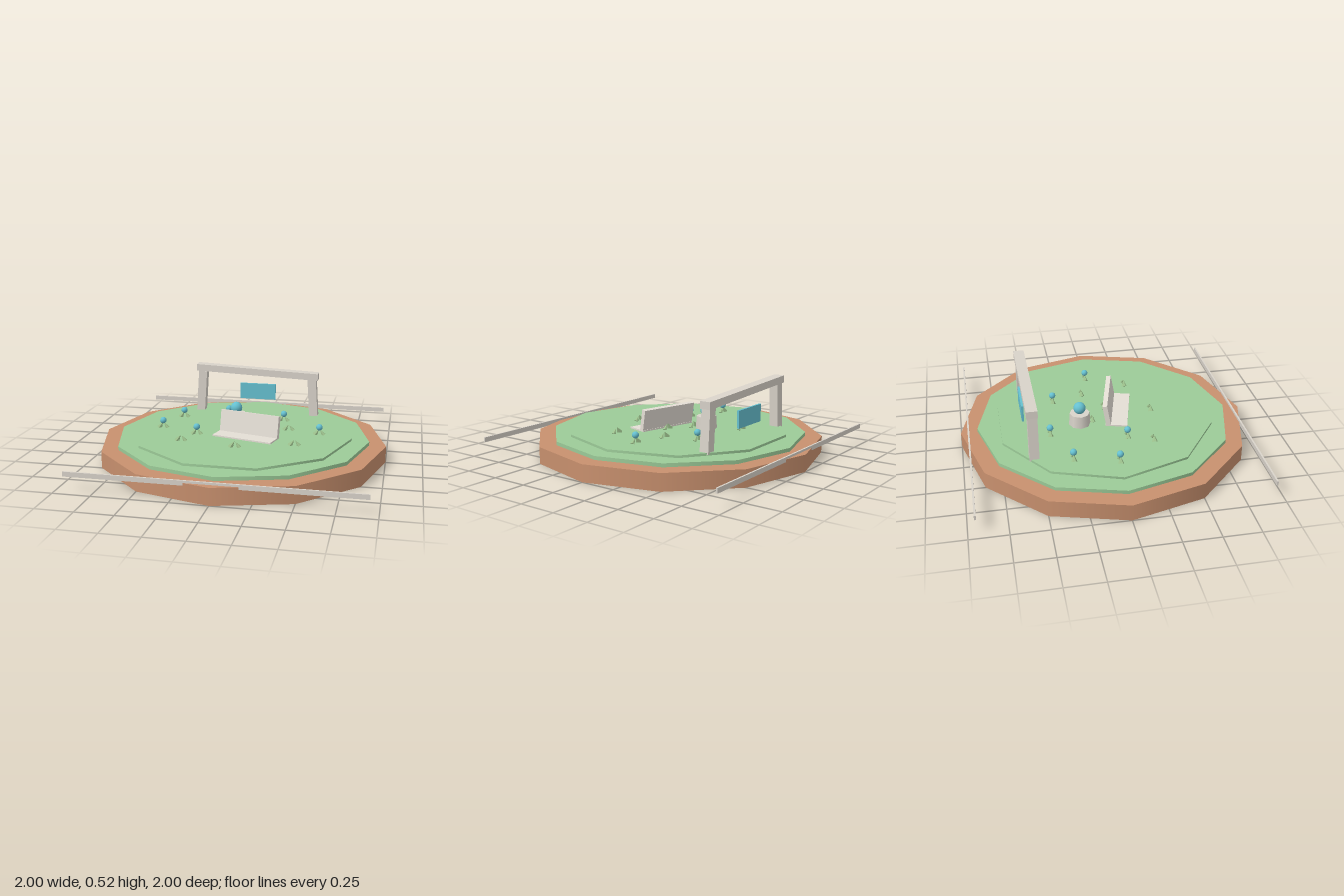
import * as THREE from 'three';

const mat = (color, flatShading = false) => new THREE.MeshStandardMaterial({ color, flatShading });

export function createModel() {
  const garden = new THREE.Group();
  garden.name = 'gardenIsland';

  const soil = mat(0xc8906e), grass = mat(0x9ccb98), leafGreen = mat(0x9cc08c, true);
  const stone = mat(0xd9d3ca), paleStone = mat(0xe4ded5), blue = mat(0x66c0d0);

  const add = (name, geometry, material, x, y, z, parent = garden) => {
    const mesh = new THREE.Mesh(geometry, material);
    mesh.name = name;
    mesh.position.set(x, y, z);
    parent.add(mesh);
    return mesh;
  };
  const box = (w, h, d) => new THREE.BoxGeometry(w, h, d);

  // Stepped ground: soil base and two lawn discs
  add('soilBase', new THREE.CylinderGeometry(1, 1, 0.115, 12), soil, 0, 0.0575, 0);
  add('lowerLawn', new THREE.CylinderGeometry(0.885, 0.885, 0.025, 12), grass, 0, 0.1285, 0);
  add('upperLawn', new THREE.CylinderGeometry(0.765, 0.765, 0.017, 10), grass, 0, 0.149, 0)
    .rotation.y = Math.PI / 2;

  // Long rails at front and back
  for (const side of [-1, 1])
    add(side > 0 ? 'frontRail' : 'backRail', box(1.89, 0.032, 0.012), stone, 0, 0.114, side * 0.948);

  // Gateway: leaning posts, slightly sloping beam, hanging panel
  const gate = new THREE.Group();
  gate.name = 'gateway';
  garden.add(gate);
  for (const side of [-1, 1])
    add(side > 0 ? 'leftPost' : 'rightPost', box(0.063, 0.32, 0.065), stone, side * 0.427, 0.305, -0.537, gate)
      .rotation.z = side * 0.065;
  add('gateBeam', box(0.93, 0.05, 0.075), stone, 0, 0.474, -0.54, gate).rotation.z = -0.04;
  add('hangingPanel', box(0.275, 0.12, 0.015), blue, -0.002, 0.31, -0.576, gate);

  // Pedestal with globe
  add('pedestal', new THREE.CylinderGeometry(0.07, 0.075, 0.09, 8), stone, -0.085, 0.2, -0.18);
  add('globe', new THREE.SphereGeometry(0.042, 20, 14), blue, -0.085, 0.282, -0.18);

  // Bench with reclined back
  const bench = new THREE.Group();
  bench.name = 'bench';
  bench.position.set(0.044, 0, 0.114);
  bench.rotation.y = -0.245;
  garden.add(bench);
  add('benchSeat', box(0.44, 0.025, 0.15), paleStone, 0, 0.155, 0.003, bench);
  add('benchBack', box(0.44, 0.155, 0.033), paleStone, 0, 0.235, -0.064, bench).rotation.x = -0.18;

  // Plants: a pair of leaves meeting at the tips, some with a round blossom
  const bigLeaf = new THREE.ConeGeometry(0.02, 0.05, 6);
  const smallLeaf = new THREE.ConeGeometry(0.016, 0.046, 6);
  const blossom = new THREE.SphereGeometry(0.023, 14, 10);
  const plant = (x, z, blooming) => {
    const group = new THREE.Group();
    group.name = blooming ? 'flower' : 'sprout';
    group.position.set(x, 0.157, z);
    garden.add(group);
    add('largeLeaf', bigLeaf, leafGreen, -0.016, 0.02, 0, group).rotation.z = -0.6;
    add('smallLeaf', smallLeaf, leafGreen, 0.018, 0.018, 0, group).rotation.z = 0.6;
    if (blooming) add('blossom', blossom, blue, 0, 0.054, 0, group);
  };
  const flowers = [[-0.19, -0.4], [-0.507, -0.287], [0.24, -0.33], [0.535, -0.045], [-0.582, 0.007], [-0.306, 0.113]];
  const sprouts = [[0.016, 0.345], [-0.373, 0.28], [0.4, 0.23], [0.103, 0.02], [-0.058, -0.088], [0.31, -0.108]];
  flowers.forEach(([x, z]) => plant(x, z, true));
  sprouts.forEach(([x, z]) => plant(x, z, false));

  return garden;
}
